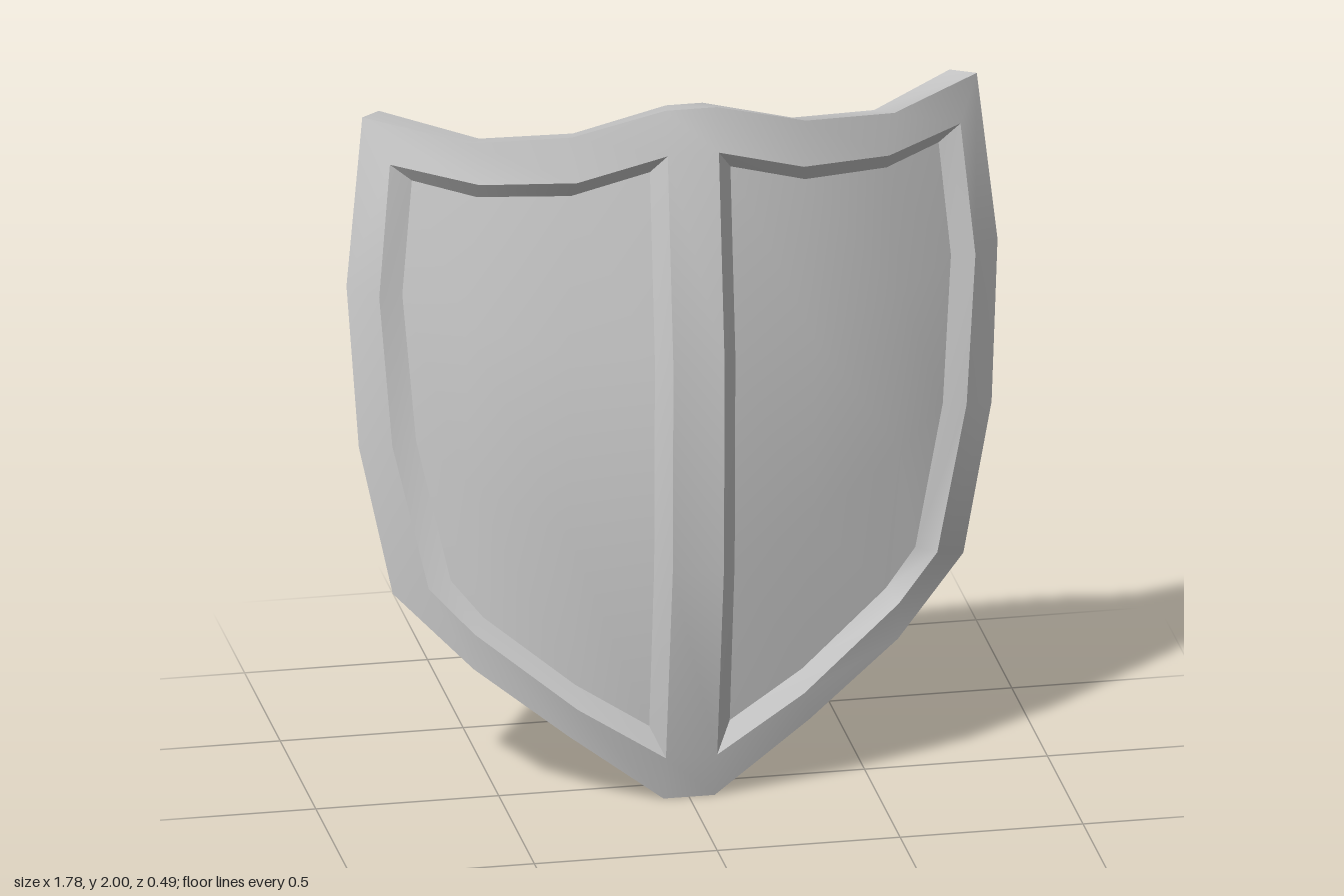
import * as THREE from 'three';
import { toCreasedNormals } from 'three/addons/utils/BufferGeometryUtils.js';

// Boundary loops of the left half, clockwise from the top centre:
// 4 along the top, 3 down the side, 3 along the bottom, 2 up the middle.
const outer = [
  [0.07, 2.0, 0.135], [0.32, 1.93, 0.105], [0.58, 1.895, 0.01], [0.84, 1.92, -0.17],
  [0.89, 1.45, -0.135], [0.865, 1.0, -0.09], [0.78, 0.585, -0.05],
  [0.58, 0.395, 0.06], [0.33, 0.2, 0.105], [0.07, 0, 0.105],
];
const inner = [
  [0.07, 1.88, 0.165], [0.31, 1.805, 0.125], [0.56, 1.785, 0.04], [0.78, 1.81, -0.09],
  [0.815, 1.44, -0.06], [0.785, 1.02, -0.03], [0.695, 0.62, 0.02],
  [0.58, 0.5, 0.07], [0.31, 0.285, 0.13], [0.07, 0.13, 0.14],
  [0.07, 0.7, 0.235], [0.07, 1.3, 0.245],
];
const field = [
  [0.11, 1.82, 0.12], [0.32, 1.755, 0.09], [0.56, 1.735, 0.0], [0.72, 1.76, -0.09],
  [0.75, 1.44, -0.07], [0.72, 1.03, -0.03], [0.635, 0.64, 0.02],
  [0.55, 0.535, 0.04], [0.31, 0.345, 0.1], [0.11, 0.215, 0.11],
  [0.11, 0.7, 0.18], [0.11, 1.3, 0.19],
];
const rear = [
  [0.05, 1.975, 0.035], [0.3, 1.905, 0.015], [0.54, 1.875, -0.07], [0.78, 1.905, -0.245],
  [0.825, 1.45, -0.205], [0.8, 1.0, -0.165], [0.72, 0.595, -0.125],
  [0.54, 0.42, -0.02], [0.3, 0.22, 0.02], [0.05, 0.03, 0.01],
  [0.05, 0.7, 0.12], [0.05, 1.3, 0.135],
];

const flip = ([x, y, z]) => [-x, y, z];
const mirrored = (quads) => quads.flatMap((q) => [q, q.map(flip).reverse()]);
const reversed = (quads) => quads.map((q) => [...q].reverse());

// Band of quads between two loops
function band(a, b, count) {
  return Array.from({ length: count }, (_, i) => {
    const j = (i + 1) % a.length;
    return [a[i], b[i], b[j], a[j]];
  });
}

// Strip joining a chain of points to its mirror image
function bridge(chain) {
  return chain.slice(1).map((b, i) => [flip(chain[i]), flip(b), b, chain[i]]);
}

// Coons patch filling a 12-point loop with a 3 x 3 grid
function patch(p) {
  const side = [p[3], p[4], p[5], p[6]], mid = [p[0], p[11], p[10], p[9]];
  const top = p.slice(0, 4), bottom = [p[9], p[8], p[7], p[6]];
  const point = (r, c) => {
    const u = c / 3, v = r / 3;
    return [0, 1, 2].map((k) =>
      (1 - u) * mid[r][k] + u * side[r][k] + (1 - v) * top[c][k] + v * bottom[c][k]
      - (1 - v) * ((1 - u) * p[0][k] + u * p[3][k])
      - v * ((1 - u) * p[9][k] + u * p[6][k]));
  };
  const quads = [];
  for (let r = 0; r < 3; r++) {
    for (let c = 0; c < 3; c++) {
      quads.push([point(r, c), point(r + 1, c), point(r + 1, c + 1), point(r, c + 1)]);
    }
  }
  return quads;
}

export function createModel() {
  const group = new THREE.Group();
  group.name = 'shield';
  const material = new THREE.MeshStandardMaterial({ color: 0xcccccc });

  const add = (name, quads) => {
    const positions = quads.flatMap(([a, b, c, d]) => [a, b, c, a, c, d].flat());
    const geometry = new THREE.BufferGeometry();
    geometry.setAttribute('position', new THREE.Float32BufferAttribute(positions, 3));
    const mesh = new THREE.Mesh(toCreasedNormals(geometry, 0.52), material);
    mesh.name = name;
    group.add(mesh);
  };

  // Raised border with the central rib
  add('frontFrame', [
    ...mirrored(band(outer, inner, 9)),
    ...bridge([outer[0], inner[0], inner[11], inner[10], inner[9], outer[9]]),
  ]);
  // Sloped walls down to the two sunken panels
  add('panelBevel', mirrored(band(inner, field, 12)));
  add('sunkenPanels', mirrored(patch(field)));
  // Thickness around the outline
  add('outerEdge', [
    ...mirrored(band(rear, outer, 9)),
    ...bridge([rear[0], outer[0]]),
    ...bridge([outer[9], rear[9]]),
  ]);
  // Hollow back
  add('backFace', [
    ...mirrored(reversed(patch(rear))),
    ...bridge([rear[9], rear[10], rear[11], rear[0]]),
  ]);
  return group;
}
